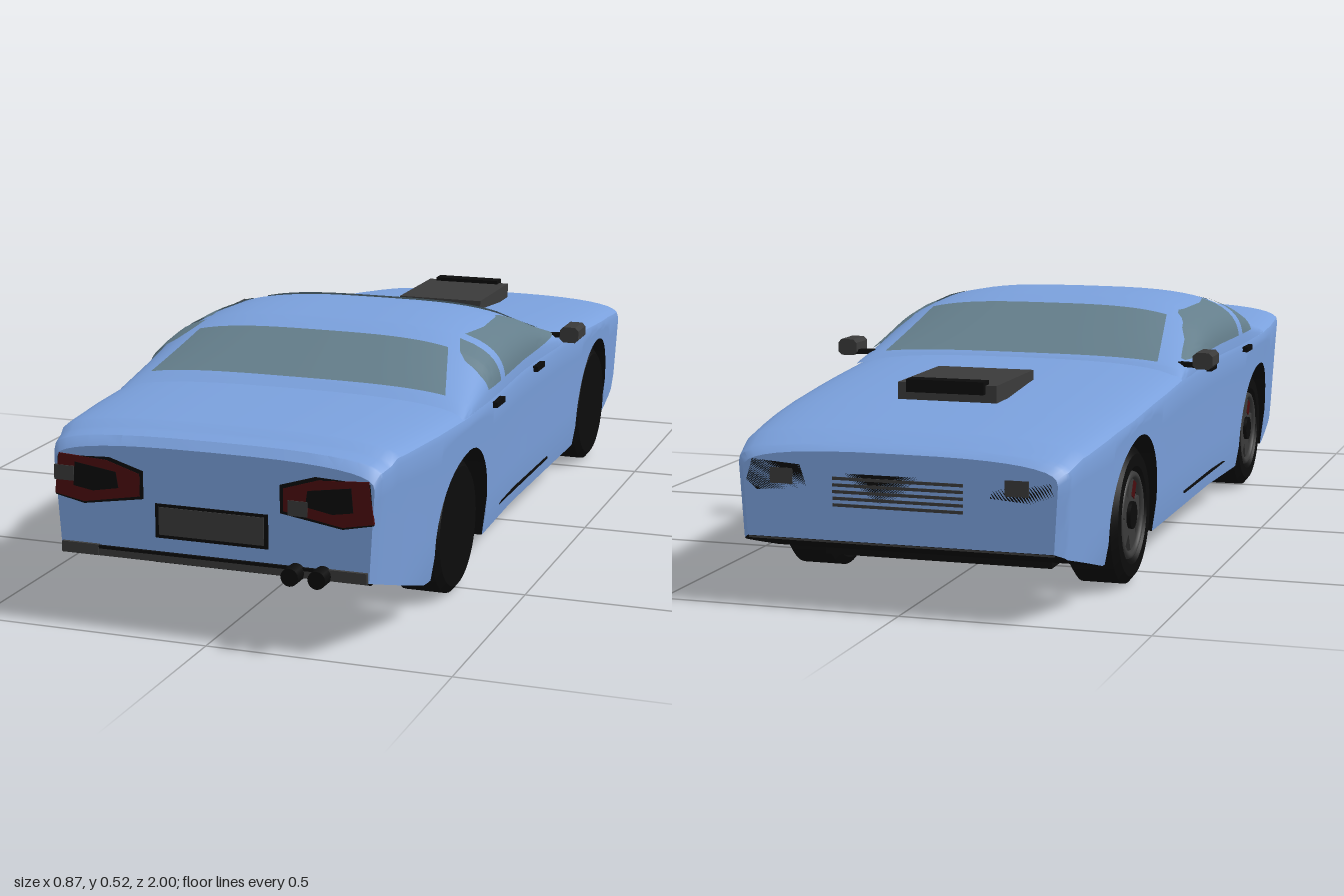
import * as THREE from 'three';
import { toCreasedNormals } from 'three/addons/utils/BufferGeometryUtils.js';

const mat = (name, color, side = THREE.FrontSide) => new THREE.MeshStandardMaterial({ name, color, side });

// linear interpolation in a table of [key, value]
function at(table, k) {
  if (k <= table[0][0]) return table[0][1];
  for (let i = 1; i < table.length; i++) {
    const [a, va] = table[i - 1], [b, vb] = table[i];
    if (k <= b) return va + ((vb - va) * (k - a)) / (b - a);
  }
  return table[table.length - 1][1];
}
const steps = (a, b, n) => Array.from({ length: n + 1 }, (_, i) => a + ((b - a) * i) / n);

// skin over rows of points; caps close the first and last row
function loft(rows, caps = false) {
  const pos = [], idx = [], n = rows[0].length;
  rows.forEach((r) => r.forEach((p) => pos.push(...p)));
  for (let j = 0; j < rows.length - 1; j++)
    for (let i = 0; i < n - 1; i++) {
      const a = j * n + i, b = a + 1, c = a + n, d = c + 1;
      idx.push(a, b, c, b, d, c);
    }
  if (caps)
    [0, rows.length - 1].forEach((j) => {
      const c = pos.length / 3, r = rows[j];
      pos.push(0, r[0][1], r[0][2]);
      for (let i = 0; i < n - 1; i++) {
        const a = j * n + i;
        if (j) idx.push(c, a, a + 1); else idx.push(c, a + 1, a);
      }
    });
  const g = new THREE.BufferGeometry();
  g.setAttribute('position', new THREE.Float32BufferAttribute(pos, 3));
  g.setIndex(idx);
  return toCreasedNormals(g, 0.6);
}

// body shape tables along z (or y for the flank)
const WIDTH = [[-1, 0.325], [-0.98, 0.342], [-0.9, 0.357], [-0.8, 0.367], [-0.65, 0.377], [-0.4, 0.381], [0.1, 0.378],
  [0.35, 0.388], [0.55, 0.39], [0.7, 0.379], [0.85, 0.362], [0.94, 0.345], [0.962, 0.336]];
const DECK = [[-1, 0.315], [-0.985, 0.325], [-0.92, 0.345], [-0.75, 0.366], [-0.5, 0.387], [-0.25, 0.404], [0, 0.41],
  [0.885, 0.412], [0.905, 0.402], [0.945, 0.395], [0.962, 0.378]];
const SILL = [[-1, 0.14], [-0.97, 0.125], [-0.78, 0.073], [0.72, 0.073], [0.962, 0.15]];
const FLANK = [[0.07, 0.93], [0.1, 0.95], [0.2, 0.968], [0.3, 0.986], [0.365, 1]];
const ROOF = [[-0.27, 0.39], [-0.24, 0.41], [-0.02, 0.497], [0.06, 0.511], [0.18, 0.516], [0.3, 0.509],
  [0.36, 0.493], [0.52, 0.425], [0.58, 0.395]];
const WHEELS = [-0.6, 0.52], ARCH = 0.165, AXLE = 0.14, BELT = 0.37, N = 3.2;

function lowEdge(z) {
  for (const c of WHEELS) {
    const d = Math.abs(z - c);
    if (d <= ARCH) return AXLE + Math.sqrt(ARCH * ARCH - d * d);
  }
  return at(SILL, z);
}
const flankX = (z, y) => at(WIDTH, z) * at(FLANK, y);

function bodyRow(z) {
  const lo = lowEdge(z), top = at(DECK, z), sh = top - 0.045, half = [];
  for (const y of steps(lo, sh, 6)) half.push([flankX(z, y), y, z]);
  const w = flankX(z, sh);
  for (const t of steps(0, Math.PI / 2, 10).slice(1))
    half.push([w * Math.max(0, Math.cos(t)) ** 0.72, sh + (top - sh) * Math.sin(t) ** 0.72, z]);
  half[half.length - 1][0] = 0;
  return [...half, ...half.slice(0, -1).reverse().map(([x, y, q]) => [-x, y, q])];
}

// cabin surface, as height over (x, z) or width over (y, z)
const cabinW = (z) => at(WIDTH, z) - 0.003;
const cabinY = (x, z) => BELT + (at(ROOF, z) - BELT) * Math.max(0, 1 - Math.abs(x / cabinW(z)) ** N) ** (1 / N);
const cabinX = (y, z) => cabinW(z) * Math.max(0, 1 - ((y - BELT) / (at(ROOF, z) - BELT)) ** N) ** (1 / N);

export function createModel() {
  const car = new THREE.Group();
  car.name = 'car';
  const blue = mat('body blue', 0x7aa0dc), glass = mat('window glass', 0x647e8b, THREE.DoubleSide);
  const black = mat('trim black', 0x0b0b0b), grey = mat('dark grey', 0x3a3a3a), red = mat('dark red', 0x4a0c0e);

  const add = (name, geo, m, x = 0, y = 0, z = 0, parent = car) => {
    const mesh = new THREE.Mesh(geo, m);
    mesh.name = name;
    mesh.position.set(x, y, z);
    parent.add(mesh);
    return mesh;
  };
  const box = (name, m, w, h, d, x, y, z, parent) => add(name, new THREE.BoxGeometry(w, h, d), m, x, y, z, parent);
  // thin flat plate facing +z
  const plate = (name, m, pts, z, parent, s = 1) => {
    const shape = new THREE.Shape(pts.map(([x, y]) => new THREE.Vector2(x * s, y)));
    return add(name, new THREE.ExtrudeGeometry(shape, { depth: 0.006, bevelEnabled: false }), m, 0, 0, z, parent);
  };

  // body shell with wheel arches, and its black underside
  let zs = [...steps(-1, 0.962, 44), ...[...WIDTH, ...DECK, ...SILL].map((p) => p[0])]
    .filter((z) => WHEELS.every((c) => Math.abs(z - c) > ARCH + 0.004));
  for (const c of WHEELS) {
    zs.push(c - ARCH - 0.001, c + ARCH + 0.001);
    for (const t of steps(0, Math.PI, 22)) zs.push(c + (ARCH - 1e-6) * Math.cos(t));
  }
  zs = [...new Set(zs.map((z) => +z.toFixed(5)))].sort((a, b) => a - b);
  const rows = zs.map(bodyRow);
  add('body', loft(rows, true), blue);
  add('underside', loft(rows.map((r) => [r[r.length - 1], r[0]])), black);
  box('chassis', black, 0.48, 0.22, 1.5, 0, 0.17, -0.03);

  // cabin
  const cabinRows = [...new Set([...steps(-0.27, 0.58, 34), ...ROOF.map((p) => p[0])])].sort((a, b) => a - b).map((z) =>
    steps(0, Math.PI, 32).map((t) => {
      const x = cabinW(z) * Math.sign(Math.cos(t)) * Math.abs(Math.cos(t)) ** (2 / N);
      return [x, cabinY(x, z), z];
    }));
  add('cabin', loft(cabinRows), blue);

  // windscreen and rear window
  const pane = (name, z0, z1, w0, w1) => add(name, loft(steps(0, 1, 14).map((k) => {
    const z = z0 + (z1 - z0) * k, w = w0 + (w1 - w0) * k;
    return steps(w, -w, 28).map((x) => [x, cabinY(x, z) + 0.004, z]);
  })), glass);
  pane('windscreen', -0.24, -0.02, 0.315, 0.28);
  pane('rearWindow', 0.36, 0.52, 0.285, 0.33);

  // side windows
  const sidePane = (name, s, z0, z1, top) => add(name, loft(steps(z0, z1, 20).map((z) =>
    steps(0.402, at(top, z), 8).map((y) => [s * (cabinX(y, z) + 0.004), y + 0.002, z]))), glass);

  for (const s of [1, -1]) {
    const side = s > 0 ? 'left' : 'right';
    sidePane(side + 'DoorWindow', s, -0.19, 0.27, [[-0.19, 0.406], [-0.1, 0.435], [-0.05, 0.457], [0.03, 0.485], [0.27, 0.489]]);
    sidePane(side + 'QuarterWindow', s, 0.305, 0.4, [[0.305, 0.487], [0.36, 0.47], [0.385, 0.455], [0.4, 0.43]]);

    // door handles and sill line
    for (const z of [-0.01, 0.34]) box(side + 'DoorHandle', black, 0.014, 0.012, 0.06, s * (flankX(z, 0.365) + 0.003), 0.365, z);
    box(side + 'SillLine', black, 0.006, 0.005, 0.45, s * flankX(0.05, 0.108), 0.108, 0.05);

    // mirror on a stalk
    const mirror = new THREE.Shape();
    mirror.moveTo(-0.022, -0.01).lineTo(-0.014, -0.018).lineTo(0.014, -0.018).lineTo(0.022, -0.01);
    mirror.lineTo(0.022, 0.01).lineTo(0.014, 0.018).lineTo(-0.014, 0.018).lineTo(-0.022, 0.01);
    add(side + 'Mirror', new THREE.ExtrudeGeometry(mirror, { depth: 0.066, bevelEnabled: false }), grey, s * 0.412, 0.408, -0.228);
    box(side + 'MirrorStalk', black, 0.05, 0.01, 0.016, s * 0.378, 0.397, -0.208).rotation.y = s * 0.3;
  }

  // wheels
  const tyre = new THREE.LatheGeometry([[0.09, 0.046], [0.1, 0.055], [0.125, 0.055], [0.14, 0.043], [0.14, -0.043],
    [0.125, -0.055], [0.02, -0.055]].map(([r, y]) => new THREE.Vector2(r, -y)), 40);
  tyre.rotateZ(-Math.PI / 2);
  tyre.scale(-1, 1, -1);
  tyre.rotateY(Math.PI);
  const tyreMat = mat('tyre black', 0x0b0b0b, THREE.DoubleSide);
  const disc = (r, d) => new THREE.CylinderGeometry(r, r, d, 32).rotateZ(Math.PI / 2);
  for (const z of WHEELS)
    for (const s of [1, -1]) {
      const wheel = new THREE.Group();
      wheel.name = (z < 0 ? 'front' : 'rear') + (s > 0 ? 'Left' : 'Right') + 'Wheel';
      wheel.position.set(s * 0.305, AXLE, z);
      car.add(wheel);
      add('tyre', toCreasedNormals(tyre, 0.5), tyreMat, 0, 0, 0, wheel);
      add('brakeDisc', disc(0.09, 0.07), black, 0, 0, 0, wheel);
      add('rim', new THREE.TorusGeometry(0.082, 0.008, 8, 40).rotateY(Math.PI / 2), grey, s * 0.046, 0, 0, wheel);
      add('hub', disc(0.028, 0.02), black, s * 0.044, 0, 0, wheel);
      for (let i = 0; i < 5; i++) {
        const a = (i * Math.PI * 2) / 5 + 0.25;
        box('spoke', grey, 0.012, 0.062, 0.046, s * 0.04, 0.05 * Math.cos(a), 0.05 * Math.sin(a), wheel).rotation.x = a;
      }
      box('brakeCaliper', red, 0.01, 0.034, 0.02, s * 0.043, 0.048, 0.026, wheel).rotation.x = 0.5;
    }

  // bonnet scoop
  box('scoop', grey, 0.21, 0.035, 0.245, 0, 0.392, -0.592);
  box('scoopMouth', black, 0.164, 0.026, 0.035, 0, 0.405, -0.712);

  // tail: number plate, lamps, bumper, exhausts
  const rect = (x0, x1, y0, y1) => [[x0, y0], [x1, y0], [x1, y1], [x0, y1]];
  const tail = new THREE.Group();
  tail.name = 'tail';
  tail.position.z = 0.958;
  car.add(tail);
  plate('plateFrame', black, rect(-0.118, 0.118, 0.197, 0.266), 0, tail);
  plate('numberPlate', grey, rect(-0.11, 0.11, 0.204, 0.26), 0.002, tail);
  for (const s of [1, -1]) {
    plate('tailLampFrame', black, [[0.143, 0.272], [0.27, 0.252], [0.332, 0.265], [0.325, 0.345], [0.215, 0.35], [0.143, 0.328]], 0, tail, s);
    plate('tailLamp', red, [[0.15, 0.277], [0.27, 0.256], [0.333, 0.268], [0.323, 0.35], [0.22, 0.344], [0.15, 0.322]], 0.001, tail, s);
    plate('tailLampCentre', black, [[0.195, 0.29], [0.25, 0.28], [0.292, 0.287], [0.288, 0.335], [0.2, 0.322]], 0.002, tail, s);
    box('bumperEnd', grey, 0.08, 0.022, 0.03, s * 0.28, 0.16, -0.004, tail);
  }
  plate('reverseLamp', grey, rect(0.16, 0.2, 0.27, 0.3), 0.003, tail);
  plate('reverseLamp', grey, rect(-0.333, -0.29, 0.296, 0.326), 0.003, tail);
  box('rearBumper', grey, 0.48, 0.014, 0.02, 0, 0.156, 0, tail);
  box('rearBumperStrip', black, 0.48, 0.006, 0.02, 0, 0.166, 0, tail);
  for (const x of [0.175, 0.23])
    add('exhaust', new THREE.CylinderGeometry(0.018, 0.018, 0.09, 16).rotateX(Math.PI / 2), black, x, 0.158, 0.955);

  // nose: grille, headlamps, bumper
  const nose = new THREE.Group();
  nose.name = 'nose';
  nose.position.z = -0.994;
  nose.rotation.y = Math.PI;
  car.add(nose);
  plate('grille', black, rect(-0.14, 0.14, 0.2, 0.272), 0, nose);
  for (const y of steps(0.21, 0.262, 4)) box('grilleBar', grey, 0.264, 0.006, 0.004, 0, y, 0.006, nose);
  for (const s of [1, -1]) {
    plate('headlampFrame', black, [[0.185, 0.24], [0.29, 0.232], [0.312, 0.25], [0.3, 0.292], [0.2, 0.285]], 0, nose, s);
    plate('headlamp', grey, rect(0.215, 0.262, 0.246, 0.277), 0.001, nose, s);
  }
  plate('noseVent', black, rect(-0.23, 0.23, 0.172, 0.182), 0, nose);
  box('frontBumper', grey, 0.62, 0.022, 0.024, 0, 0.146, -0.008, nose);
  box('frontBumperStrip', black, 0.62, 0.008, 0.024, 0, 0.161, -0.008, nose);
  return car;
}
